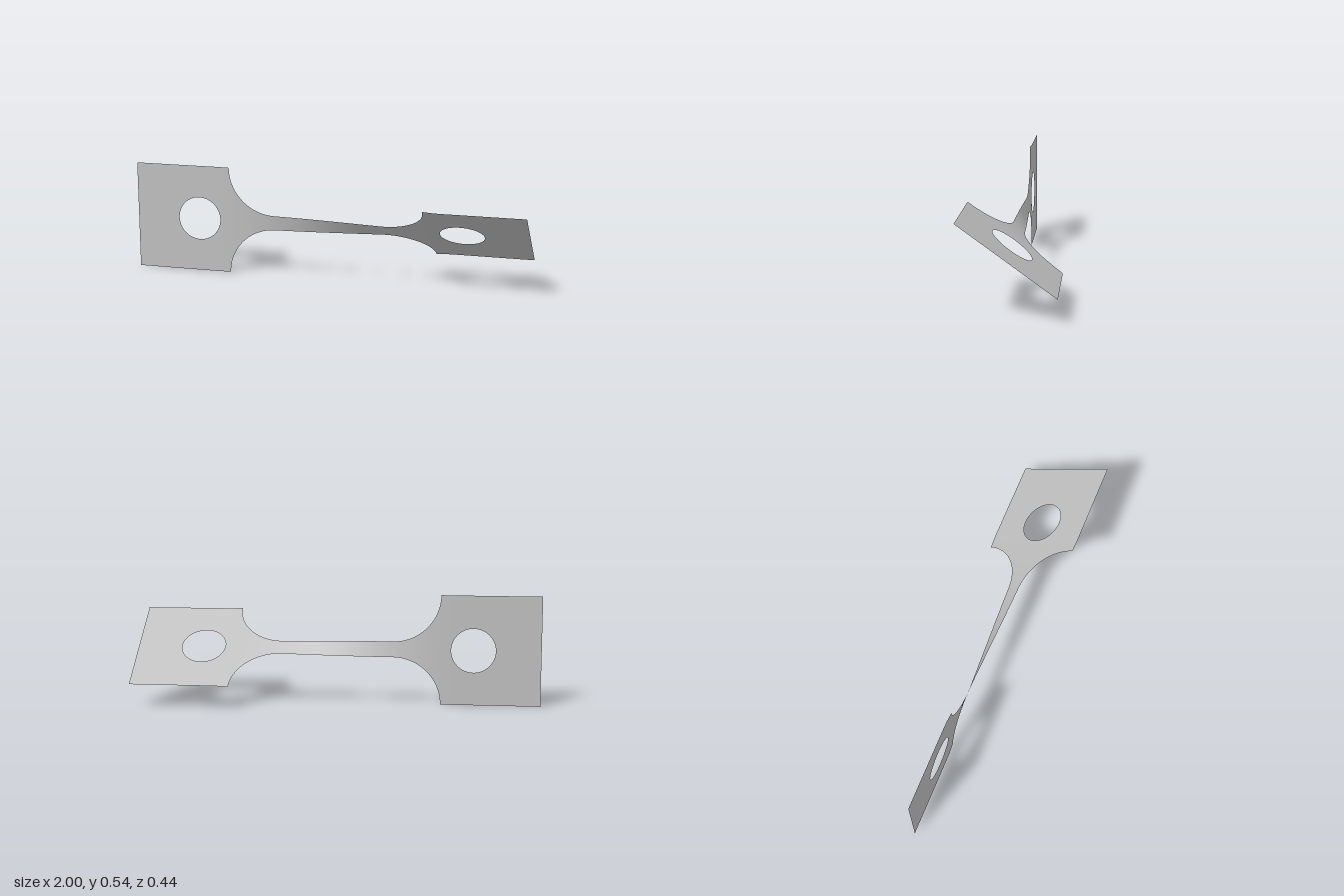
import * as THREE from 'three';

const MID = 0.2715;      // height of the long axis, and half the plate width
const PLATE_END = 0.51;  // where the plate meets the fillet
const FILLET_END = 0.275; // where the fillet meets the neck
const NECK = 0.0385;     // half width of the neck
const HOLE_X = 0.67, HOLE_R = 0.109;
const TWIST = THREE.MathUtils.degToRad(54);

const twistAt = (x) => TWIST * THREE.MathUtils.smoothstep(x, -0.6, 0.6);

// Half width of the strip at a distance from the middle
function outer(x) {
  const d = Math.abs(x);
  if (d >= PLATE_END) return MID;
  if (d <= FILLET_END) return NECK;
  const t = (d - FILLET_END) / (PLATE_END - FILLET_END);
  return MID - (MID - NECK) * Math.sqrt(Math.max(0, 1 - t * t));
}

// Half height of the hole at a distance from the middle
function inner(x) {
  const d = Math.abs(x) - HOLE_X;
  return Math.sqrt(Math.max(0, HOLE_R * HOLE_R - d * d));
}

// Twisted sheet through the given columns, one band above and one below the axis
function sheet(xs) {
  const pos = [], nor = [], idx = [], rows = 4;
  for (const s of [1, -1]) {
    const base = pos.length / 3;
    for (const x of xs) {
      const a = twistAt(x), c = Math.cos(a), n = Math.sin(a);
      for (let j = 0; j <= rows; j++) {
        const w = s * THREE.MathUtils.lerp(inner(x), outer(x), j / rows);
        pos.push(x, MID + w * c, w * n);
        nor.push(0, -n, c);
      }
    }
    for (let i = 0; i < xs.length - 1; i++) {
      for (let j = 0; j < rows; j++) {
        const a = base + i * (rows + 1) + j, b = a + rows + 1;
        if (s > 0) idx.push(a, b, b + 1, a, b + 1, a + 1);
        else idx.push(a, b + 1, b, a, a + 1, b + 1);
      }
    }
  }
  const g = new THREE.BufferGeometry();
  g.setAttribute('position', new THREE.Float32BufferAttribute(pos, 3));
  g.setAttribute('normal', new THREE.Float32BufferAttribute(nor, 3));
  g.setIndex(idx);
  return g;
}

export function createModel() {
  const group = new THREE.Group();
  const steel = new THREE.MeshStandardMaterial({ color: 0xc0c0c0, side: THREE.DoubleSide });
  steel.name = 'steel grey';

  // Columns bunch up where the hole and the fillet run steep
  const plate = [PLATE_END];
  for (let i = 0; i <= 32; i++) plate.push(HOLE_X - HOLE_R * Math.cos((i / 32) * Math.PI));
  plate.push(0.89, 1);
  const fillet = [];
  for (let i = 0; i <= 20; i++) {
    fillet.push(FILLET_END + (PLATE_END - FILLET_END) * Math.sin((i / 20) * Math.PI / 2));
  }
  const neck = [];
  for (let i = 0; i <= 24; i++) neck.push(FILLET_END * (i / 12 - 1));
  const mirror = (xs) => xs.map((x) => -x).reverse();

  const add = (name, xs) => {
    const m = new THREE.Mesh(sheet(xs), steel);
    m.name = name;
    group.add(m);
  };
  add('leftPlate', plate);
  add('rightPlate', mirror(plate));
  add('leftFillet', fillet);
  add('rightFillet', mirror(fillet));
  add('twistedNeck', neck);
  return group;
}
